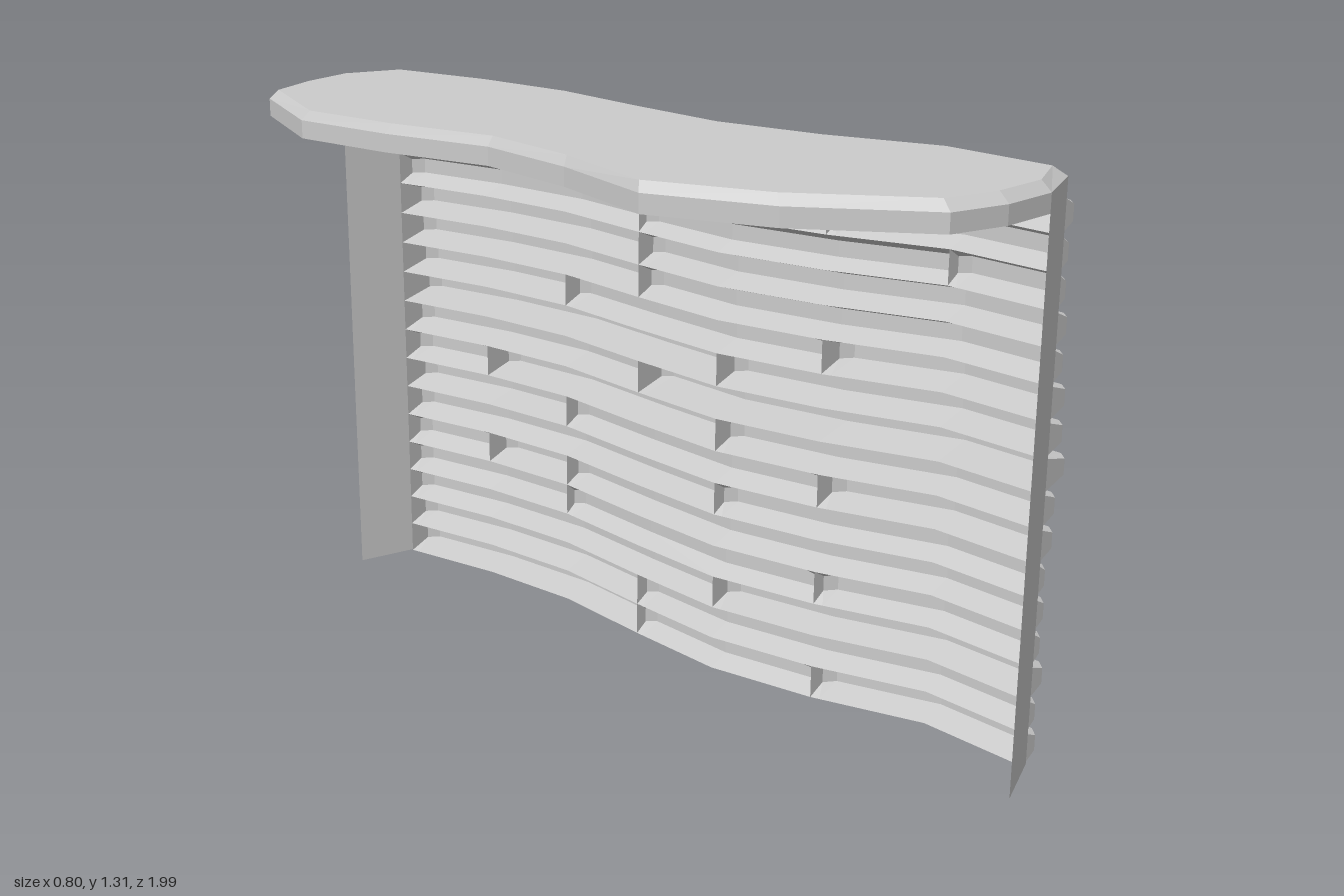
import * as THREE from 'three';

const material = new THREE.MeshStandardMaterial({ color: 0xcccccc, flatShading: true, side: THREE.DoubleSide });

// Faceted sheet through sections of equal point count
function loft(sections) {
  const pos = [];
  for (let i = 0; i < sections.length - 1; i++) {
    const a = sections[i], b = sections[i + 1];
    for (let j = 0; j < a.length - 1; j++) {
      pos.push(...a[j], ...a[j + 1], ...b[j], ...b[j], ...a[j + 1], ...b[j + 1]);
    }
  }
  const g = new THREE.BufferGeometry();
  g.setAttribute('position', new THREE.Float32BufferAttribute(pos, 3));
  g.computeVertexNormals();
  return g;
}

function add(parent, name, geometry) {
  const mesh = new THREE.Mesh(geometry, material);
  mesh.name = name;
  parent.add(mesh);
}

// Wavy face line: x at each z station
const Z = [-0.94, -0.67, -0.4, -0.13, 0.13, 0.4, 0.67, 0.94];
const X = [0.265, 0.295, 0.295, 0.25, 0.215, 0.24, 0.3, 0.265];
function faceX(z) {
  let i = 0;
  while (i < Z.length - 2 && z > Z[i + 1]) i++;
  return THREE.MathUtils.lerp(X[i], X[i + 1], (z - Z[i]) / (Z[i + 1] - Z[i]));
}

const HEIGHT = 1.25, ROWS = 16, PITCH = HEIGHT / ROWS;

// Each row from top to bottom: joint positions in z, then how far each plank sticks out (from -z to +z)
const rows = [
  [[-0.13], [0.08, 0.055]],
  [[-0.4, 0.4], [0.05, 0.04, 0.045]],
  [[-0.13, 0.67], [0.05, 0.035, 0.045]],
  [[-0.13], [0.08, 0.06]],
  [[-0.13], [0.085, 0.055]],
  [[-0.4, 0.4], [0.09, 0.06, 0.075]],
  [[0.13], [0.1, 0.075]],
  [[-0.13], [0.07, 0.095]],
  [[-0.67, 0.13], [0.06, 0.085, 0.065]],
  [[-0.4, 0.4], [0.075, 0.05, 0.065]],
  [[0.13], [0.06, 0.045]],
  [[-0.67, -0.4], [0.05, 0.07, 0.05]],
  [[-0.4, 0.4], [0.05, 0.035, 0.045]],
  [[0.13], [0.05, 0.065]],
  [[-0.13], [0.06, 0.045]],
  [[-0.13, 0.4], [0.065, 0.04, 0.055]],
];

// Hollow plank with a blunt nose, bevelled at both ends
function addPlank(parent, z0, z1, y, depth) {
  const bevel = 0.022;
  const section = (z, d) => {
    const x = faceX(z), root = x - 0.015;
    return [[root, y, z], [x + d, y + 0.02, z], [x + d, y + 0.056, z], [root, y + PITCH, z]];
  };
  const inner = Z.filter((z) => z > z0 + 0.03 && z < z1 - 0.03);
  const first = section(z0, depth - bevel), last = section(z1, depth - bevel);
  const body = [z0 + bevel, ...inner, z1 - bevel].map((z) => section(z, depth));
  add(parent, 'plank', loft([first, ...body, last]));
  add(parent, 'plankEnd', loft([[first[0], first[3]], [first[1], first[2]]]));
  add(parent, 'plankEnd', loft([[last[1], last[2]], [last[0], last[3]]]));
}

export function createModel() {
  const model = new THREE.Group();
  model.name = 'barCounter';

  // Counter top: open-bottomed lid; outline as [x, z, chamfer shift in x]
  const outline = [
    ...Z.map((z, i) => [X[i], z, -0.025]),
    [0.11, 0.99, 0], [-0.03, 0.98, 0.003], [-0.16, 0.935, 0.01],
    [-0.32, 0.67, 0.012], [-0.4, 0.4, 0.012], [-0.31, 0.13, 0.012], [-0.26, -0.13, 0.012],
    [-0.3, -0.4, 0.012], [-0.31, -0.66, 0.012], [-0.17, -0.935, 0.01],
    [-0.03, -0.98, 0.003], [0.11, -1, 0],
  ];
  const TOP = 1.31;
  const rim = outline.map(([x, z, dx]) => [[x, 1.247, z], [x, 1.288, z], [x + dx, TOP, z * 0.976]]);
  const counter = new THREE.Group();
  counter.name = 'counterTop';
  add(counter, 'counterRim', loft([...rim, rim[0]]));
  const shape = new THREE.Shape(rim.map((r) => new THREE.Vector2(r[2][0], -r[2][2])));
  add(counter, 'counterSurface', new THREE.ShapeGeometry(shape).rotateX(-Math.PI / 2).translate(0, TOP, 0));
  model.add(counter);

  // Thin end panels, angled along the ends of the counter
  for (const s of [-1, 1]) {
    const edge = (x, z) => [[x, 0, s * z], [x, HEIGHT, s * z]];
    const panel = [edge(0.265, 0.94), edge(0.11, 0.99)];
    add(model, 'endPanel', loft(s > 0 ? panel : panel.reverse()));
  }

  // Rows of planks
  const cladding = new THREE.Group();
  cladding.name = 'plankCladding';
  rows.forEach(([joints, depths], r) => {
    const cuts = [Z[0], ...joints, Z[Z.length - 1]];
    depths.forEach((d, i) => addPlank(cladding, cuts[i], cuts[i + 1], HEIGHT - (r + 1) * PITCH, d));
  });
  model.add(cladding);

  return model;
}
